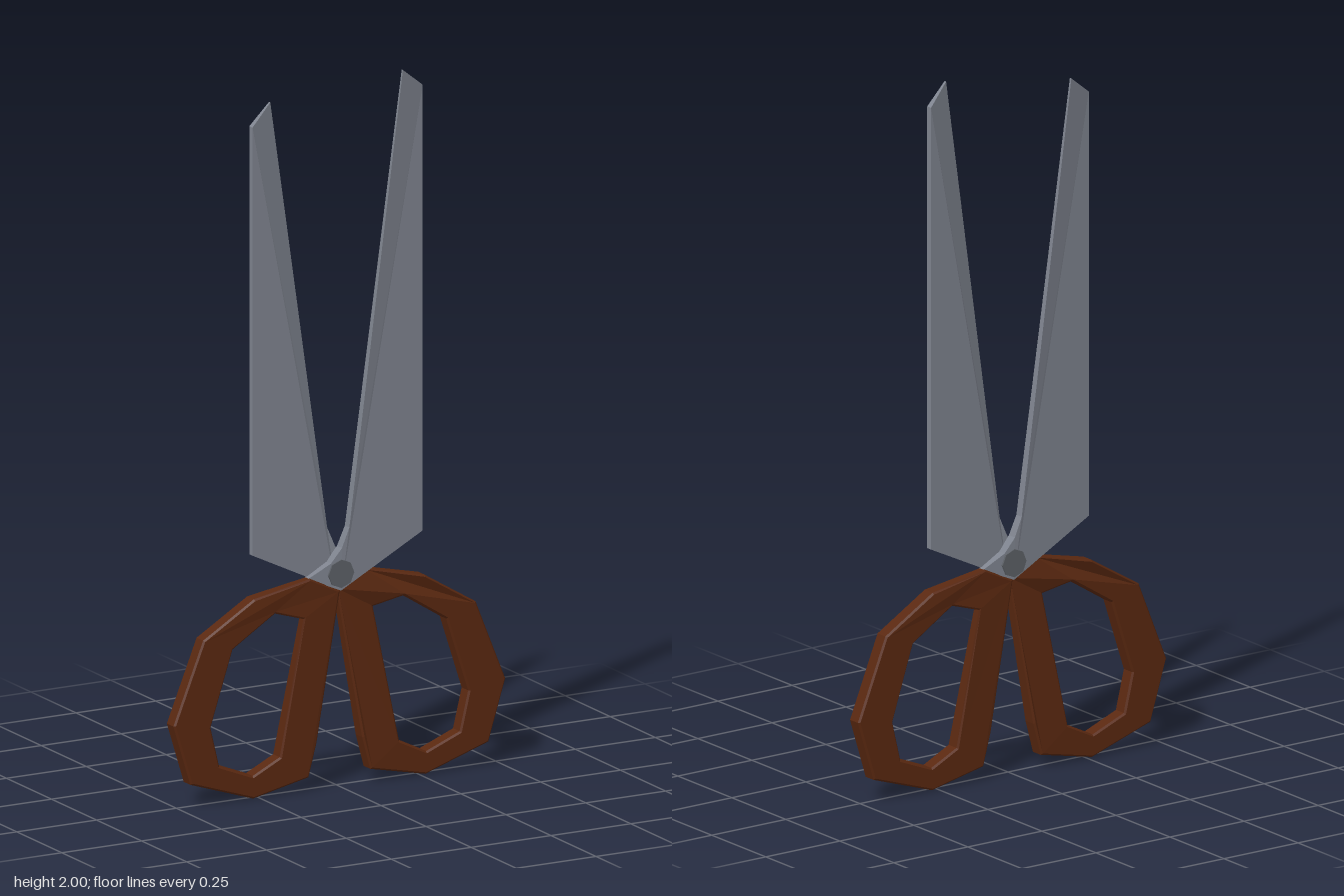
import * as THREE from 'three';

const steel = new THREE.MeshStandardMaterial({ color: 0x7f848f });
steel.name = 'steel';
const brown = new THREE.MeshStandardMaterial({ color: 0x5a2810 });
brown.name = 'brown';
const rivetGrey = new THREE.MeshStandardMaterial({ color: 0x5c6066 });
rivetGrey.name = 'rivet grey';

const toPoints = (list) => list.map(([x, y]) => new THREE.Vector2(x, y));

// Blade corners: x, y, back z, front z. Thick spine outside, thin cutting edge inside.
const bladeOutline = [
  [-0.1, 0.598, 0, 0.02],
  [0, 0.555, 0, 0.028],
  [0.267, 0.685, -0.01, 0.008],
  [0.267, 1.945, -0.01, 0.008],
  [0.195, 2, 0.019, 0.026],
  [0.026, 0.73, 0.003, 0.028],
  [0.003, 0.675, 0, 0.028],
  [-0.03, 0.635, 0, 0.026],
];

function bladeGeometry(tipDrop) {
  const geo = new THREE.ExtrudeGeometry(new THREE.Shape(toPoints(bladeOutline)), {
    depth: 1, bevelEnabled: false,
  });
  const p = geo.attributes.position;
  for (let i = 0; i < p.count; i++) {
    const x = p.getX(i), y = p.getY(i);
    const corner = bladeOutline.find((c) => Math.hypot(c[0] - x, c[1] - y) < 1e-4);
    p.setZ(i, p.getZ(i) > 0.5 ? corner[3] : corner[2]);
    if (y > 1.5) p.setY(i, y - tipDrop);
  }
  geo.computeVertexNormals();
  return geo;
}

// Finger loop on the +x side, its neck stepping back to meet the rear blade
function handleGeometry() {
  const shape = new THREE.Shape(toPoints([
    [0.002, 0.555], [0.07, 0.13], [0.095, 0.037], [0.268, 0], [0.465, 0.065],
    [0.518, 0.237], [0.425, 0.467], [0.266, 0.563], [0.095, 0.6],
  ]));
  shape.holes.push(new THREE.Path(toPoints([
    [0.116, 0.489], [0.2, 0.514], [0.333, 0.43], [0.402, 0.218],
    [0.375, 0.106], [0.27, 0.064], [0.185, 0.106],
  ])));
  const bevel = 0.005;
  const geo = new THREE.ExtrudeGeometry(shape, {
    depth: 0.046 - 2 * bevel, bevelEnabled: true, bevelSegments: 1,
    bevelSize: bevel, bevelThickness: bevel, bevelOffset: -bevel,
  });
  geo.translate(0, 0, bevel - 0.02);
  const p = geo.attributes.position;
  for (let i = 0; i < p.count; i++) {
    if (p.getX(i) < 0.14 && p.getY(i) > 0.45) {
      p.setZ(i, -0.027 + (p.getZ(i) + 0.02) * 0.6);
    }
  }
  geo.computeVertexNormals();
  return geo;
}

export function createModel() {
  const model = new THREE.Group();
  model.name = 'scissors';
  const add = (name, geometry, material, turn = 0) => {
    const mesh = new THREE.Mesh(geometry, material);
    mesh.name = name;
    mesh.rotation.y = turn;
    model.add(mesh);
    return mesh;
  };

  // The second half is the first turned about the upright axis
  add('frontBlade', bladeGeometry(0), steel);
  add('backBlade', bladeGeometry(0.05), steel, Math.PI);
  const handle = handleGeometry();
  add('leftHandle', handle, brown);
  add('rightHandle', handle, brown, Math.PI);

  // Rivet through both blades
  const rivet = new THREE.CylinderGeometry(0.04, 0.04, 0.062, 8).toNonIndexed();
  rivet.rotateX(Math.PI / 2);
  rivet.computeVertexNormals();
  add('rivet', rivet, rivetGrey).position.set(0, 0.603, 0);

  return model;
}
